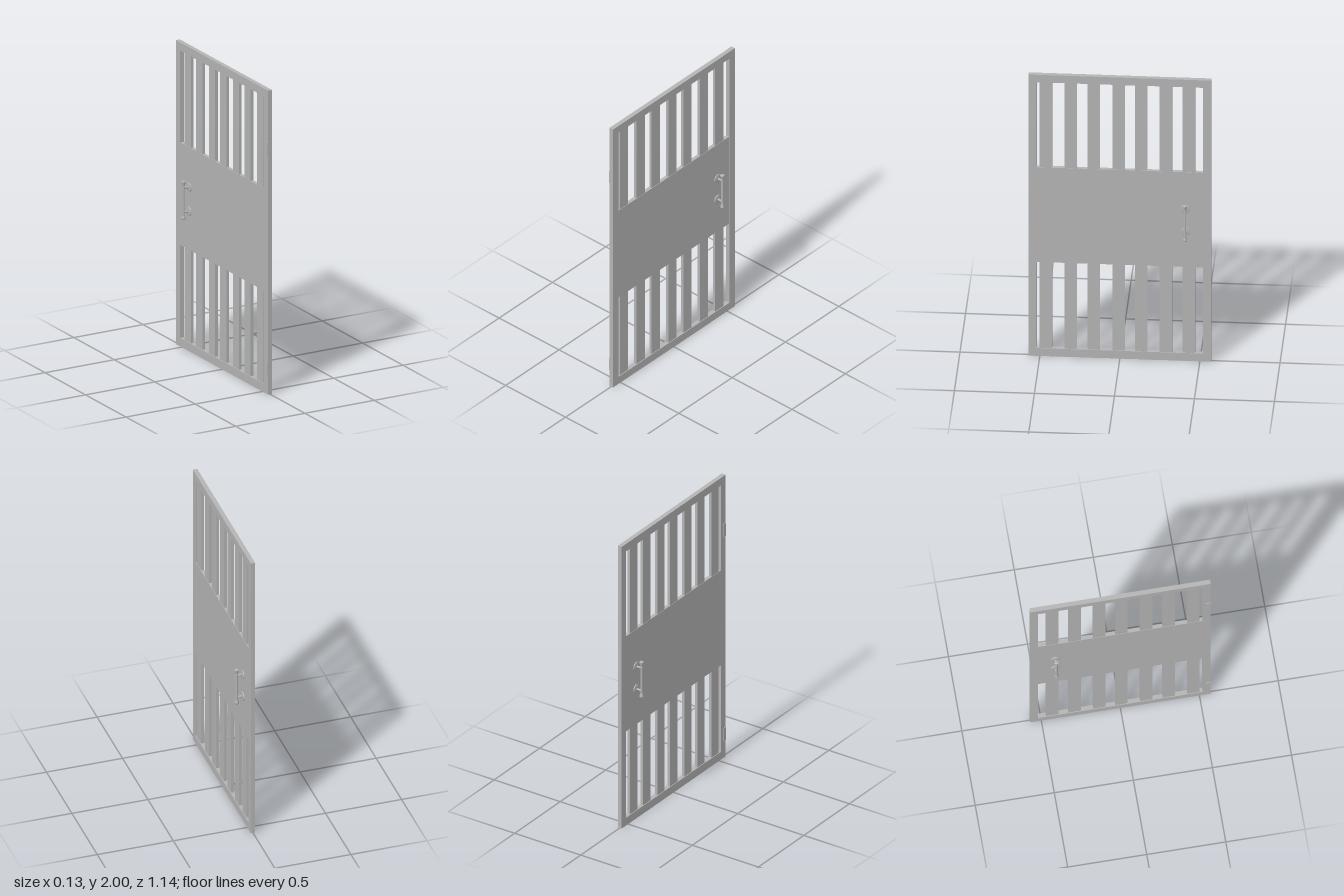
import * as THREE from 'three';

export function createModel() {
  const door = new THREE.Group();
  door.name = 'door';
  const metal = new THREE.MeshStandardMaterial({ color: 0xb4b4b4 });
  metal.name = 'grey metal';

  const add = (parent, name, geometry, x = 0, y = 0, z = 0) => {
    const mesh = new THREE.Mesh(geometry, metal);
    mesh.name = name;
    mesh.position.set(x, y, z);
    parent.add(mesh);
    return mesh;
  };

  // Rectangular frame: outline in (z, y) with one large opening
  const W = 0.571, T = 0.029, inner = 0.521, low = 0.055, high = 1.947;
  const outline = new THREE.Shape();
  outline.moveTo(-W, 0).lineTo(W, 0).lineTo(W, 2).lineTo(-W, 2).closePath();
  const opening = new THREE.Path();
  opening.moveTo(-inner, low).lineTo(-inner, high).lineTo(inner, high).lineTo(inner, low).closePath();
  outline.holes.push(opening);
  const frame = new THREE.ExtrudeGeometry(outline, { depth: T, bevelEnabled: false });
  frame.translate(0, 0, -T / 2).rotateY(-Math.PI / 2);
  add(door, 'frame', frame);

  // Middle panel, set slightly back from the frame
  const panelLow = 0.667, panelHigh = 1.341;
  add(door, 'middlePanel',
    new THREE.BoxGeometry(0.024, panelHigh - panelLow, inner * 2), 0, (panelLow + panelHigh) / 2, 0);

  // Upright slats above and below the panel
  for (const z of [0.463, 0.307, 0.164, 0.008, -0.132, -0.288, -0.431]) {
    for (const [a, b, name] of [[low, panelLow, 'lowerSlat'], [panelHigh, high, 'upperSlat']]) {
      add(door, name, new THREE.BoxGeometry(0.019, b - a, 0.078), 0, (a + b) / 2, z);
    }
  }

  // Hinge leaves on the -x side
  for (const y of [0.165, 1.615]) {
    add(door, 'hinge', new THREE.BoxGeometry(0.012, 0.092, 0.03), -0.013, y, 0.555);
  }

  // Pull handles, one on each side
  const gripProfile = [
    [0, -0.125], [0.0135, -0.125], [0.0135, -0.12], [0.0095, -0.101], [0.0075, -0.099],
    [0.0075, 0.099], [0.0095, 0.101], [0.0135, 0.12], [0.0135, 0.125], [0, 0.125],
  ].map(([r, y]) => new THREE.Vector2(r, y));
  const rosetteProfile = [[0.03, 0], [0.03, 0.004], [0.028, 0.007], [0.009, 0.008], [0, 0.008]]
    .map(([r, y]) => new THREE.Vector2(r, y));

  for (const side of [1, -1]) {
    const handle = new THREE.Group();
    handle.name = side > 0 ? 'leftHandle' : 'rightHandle';
    handle.position.set(0, 1, -0.41);
    door.add(handle);
    add(handle, 'grip', new THREE.LatheGeometry(gripProfile, 24), side * 0.0535);
    for (const y of [-0.08, 0.08]) {
      const rosette = add(handle, 'rosette', new THREE.LatheGeometry(rosetteProfile, 28), side * 0.0115, y);
      const post = add(handle, 'post', new THREE.CylinderGeometry(0.007, 0.007, 0.038, 16), side * 0.0345, y);
      rosette.rotation.z = post.rotation.z = -side * Math.PI / 2;
    }
  }
  return door;
}
